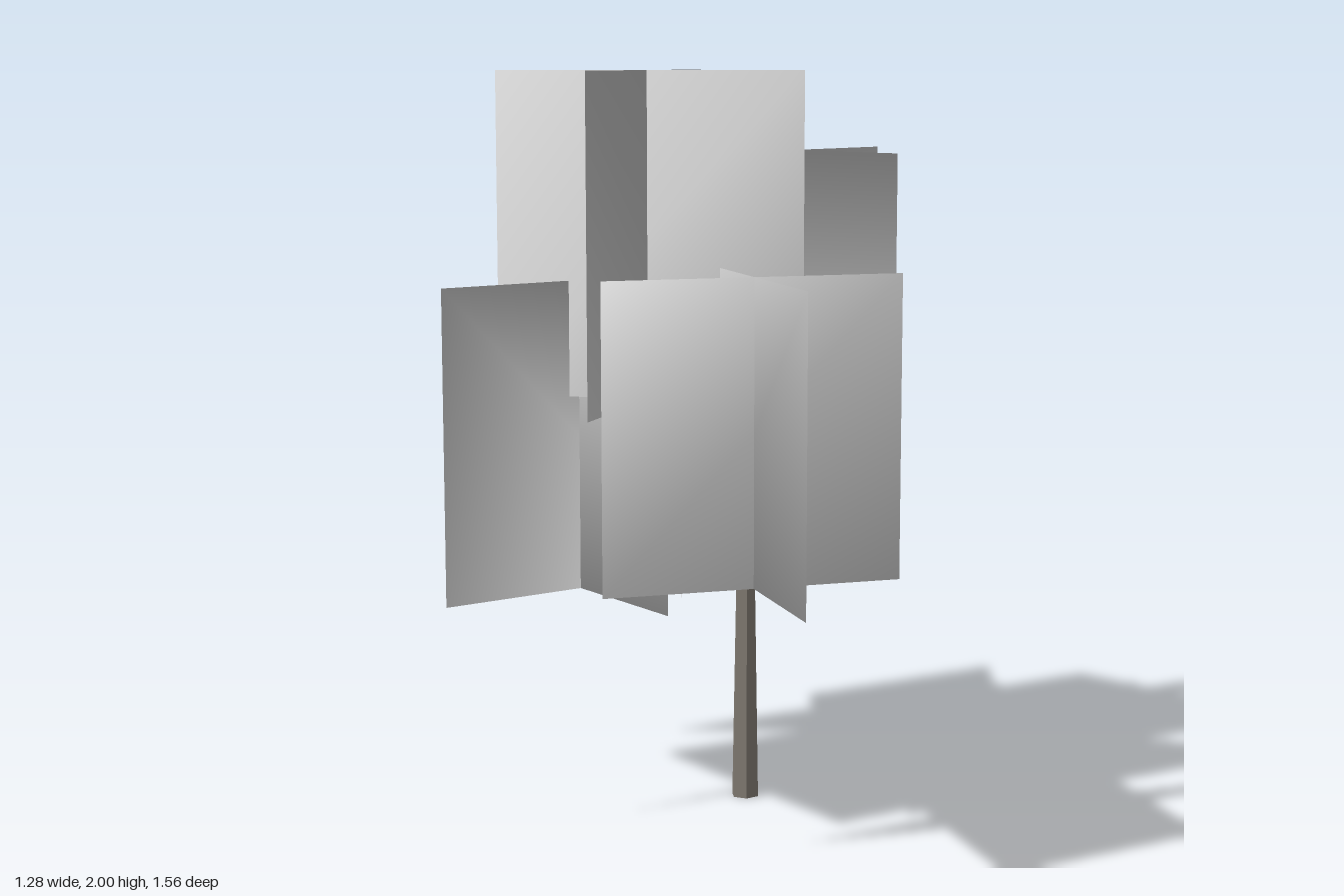
import * as THREE from 'three';

const leafMaterial = new THREE.MeshStandardMaterial({ color: 0xcccccc, side: THREE.DoubleSide });
const barkMaterial = new THREE.MeshStandardMaterial({ color: 0x7f7970, side: THREE.DoubleSide, flatShading: true });

// Foliage clusters: centre x, z, bottom and top heights, and the half-span (dx, dz) of the first card
const clusters = [
  { name: 'crownFoliage', x: -0.04, z: 0.30, y0: 1.15, y1: 2.00, dx: 0.42, dz: -0.04 },
  { name: 'upperRightFoliage', x: -0.295, z: -0.073, y0: 1.19, y1: 1.935, dx: 0.346, dz: 0.138 },
  { name: 'upperBackFoliage', x: 0.065, z: -0.425, y0: 1.03, y1: 1.775, dx: 0.357, dz: 0.12 },
  { name: 'lowerLeftFoliage', x: 0.344, z: 0.49, y0: 0.72, y1: 1.50, dx: 0.291, dz: -0.26 },
  { name: 'lowerFrontFoliage', x: -0.244, z: 0.295, y0: 0.63, y1: 1.455, dx: 0.356, dz: 0.205 },
  { name: 'lowerBackFoliage', x: -0.253, z: -0.37, y0: 0.553, y1: 1.405, dx: 0.388, dz: -0.175 },
];

// Leaf normals point away from this point inside the crown, for soft, rounded shading
const crownCentre = new THREE.Vector3(-0.06, 0.99, 0.03);

// Upright card whose front looks away from the crown centre
function makeCardGeometry(width, height, angle, x, y, z) {
  const outward = Math.sin(angle) * (x - crownCentre.x) + Math.cos(angle) * (z - crownCentre.z);
  const geometry = new THREE.PlaneGeometry(width, height)
    .rotateY(outward < 0 ? angle + Math.PI : angle)
    .translate(x, y, z);
  const { position, normal } = geometry.attributes;
  const v = new THREE.Vector3();
  for (let i = 0; i < position.count; i++) {
    v.fromBufferAttribute(position, i).sub(crownCentre).normalize();
    normal.setXYZ(i, v.x, v.y, v.z);
  }
  return geometry;
}

// Two square cards crossing at right angles
function makeCluster({ name, x, z, y0, y1, dx, dz }) {
  const cluster = new THREE.Group();
  cluster.name = name;
  const width = 2 * Math.hypot(dx, dz);
  for (let i = 0; i < 2; i++) {
    const angle = Math.atan2(-dz, dx) + i * Math.PI / 2;
    const card = new THREE.Mesh(makeCardGeometry(width, y1 - y0, angle, x, (y0 + y1) / 2, z), leafMaterial);
    card.name = 'leafCard';
    cluster.add(card);
  }
  return cluster;
}

export function createModel() {
  const tree = new THREE.Group();
  tree.name = 'tree';

  // Tapered, open six-sided trunk with corners on the x axis
  const height = 1.11;
  const trunk = new THREE.Mesh(new THREE.CylinderGeometry(0.019, 0.039, height, 6, 1, true), barkMaterial);
  trunk.name = 'trunk';
  trunk.rotation.y = Math.PI / 6;
  trunk.position.set(0.082, height / 2, -0.06);
  tree.add(trunk);

  for (const c of clusters) tree.add(makeCluster(c));
  return tree;
}
